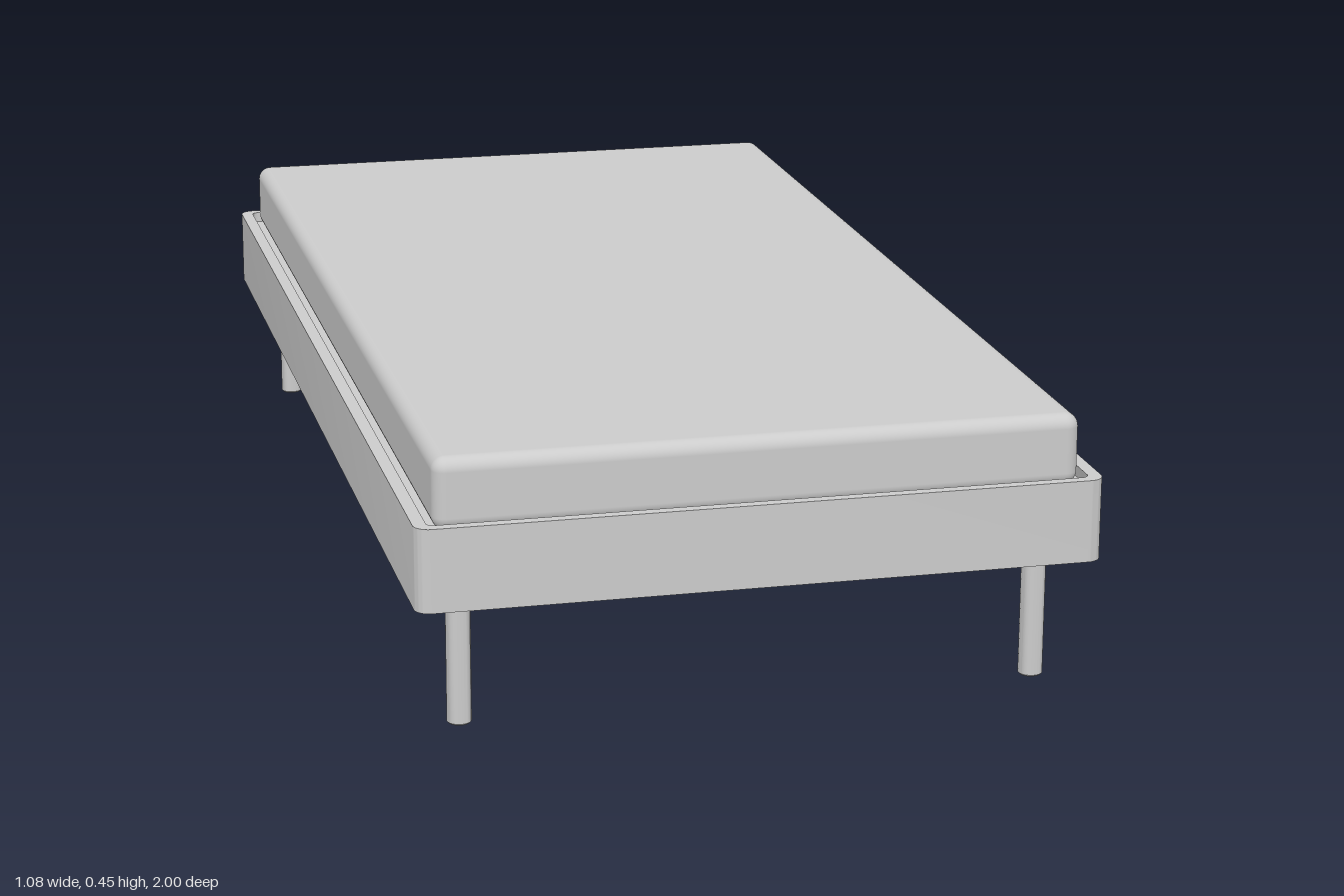
import * as THREE from 'three';
import { toCreasedNormals } from 'three/addons/utils/BufferGeometryUtils.js';
import { RoundedBoxGeometry } from 'three/addons/geometries/RoundedBoxGeometry.js';

const material = new THREE.MeshStandardMaterial({ color: 0xcccccc });

// Rounded rectangle centred on the origin, w and d are half sizes
function roundedRect(path, w, d, r) {
  path.absarc(w - r, d - r, r, 0, Math.PI / 2);
  path.absarc(-w + r, d - r, r, Math.PI / 2, Math.PI);
  path.absarc(-w + r, -d + r, r, Math.PI, Math.PI * 1.5);
  path.absarc(w - r, -d + r, r, Math.PI * 1.5, Math.PI * 2);
  path.closePath();
  return path;
}

// Upright extrusion of a plan shape between two heights
function slab(shape, bottom, top) {
  const geometry = new THREE.ExtrudeGeometry(shape, { depth: top - bottom, bevelEnabled: false, curveSegments: 8 });
  geometry.rotateX(-Math.PI / 2).translate(0, bottom, 0);
  return toCreasedNormals(geometry, 0.6);
}

export function createModel() {
  const bed = new THREE.Group();
  bed.name = 'bed';
  const add = (name, geometry) => {
    const mesh = new THREE.Mesh(geometry, material);
    mesh.name = name;
    bed.add(mesh);
    return mesh;
  };

  // Surrounding frame with a raised rim
  const rim = roundedRect(new THREE.Shape(), 0.541, 1, 0.025);
  rim.holes.push(roundedRect(new THREE.Path(), 0.52, 0.982, 0.012));
  add('frame', slab(rim, 0.215, 0.348));

  // Closed base inside the frame
  add('basePanel', slab(roundedRect(new THREE.Shape(), 0.52, 0.982, 0.012), 0.215, 0.33));

  // Mattress with soft edges, sunk slightly below the rim
  add('mattress', new RoundedBoxGeometry(1.016, 0.116, 1.942, 5, 0.022)).position.y = 0.388;

  // Four round legs with a small chamfer at the foot
  const r = 0.0195;
  const profile = [[0, 0], [r - 0.003, 0], [r, 0.003], [r, 0.216]].map(([x, y]) => new THREE.Vector2(x, y));
  const leg = toCreasedNormals(new THREE.LatheGeometry(profile, 24), 0.6);
  for (const [x, side] of [[0.461, 'Left'], [-0.461, 'Right']]) {
    for (const [z, end] of [[0.904, 'front'], [-0.904, 'back']]) {
      add(`${end}${side}Leg`, leg).position.set(x, 0, z);
    }
  }
  return bed;
}
